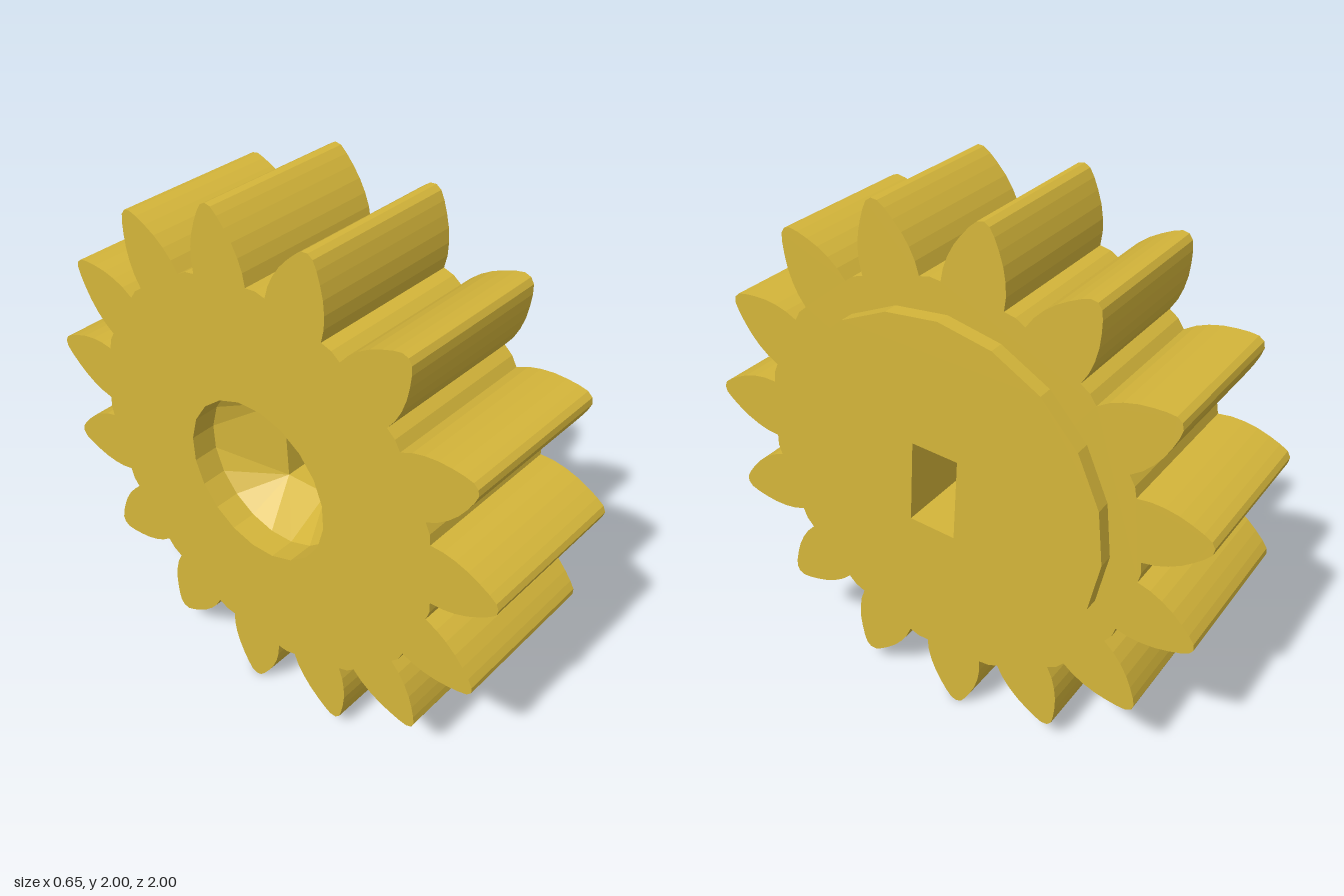
import * as THREE from 'three';

const DEG = Math.PI / 180;
const BACK = -0.325, FACE = 0.27, PLATE = 0.325; // stations along the axle
const TEETH = 15, BORE_R = 0.312, TILT = -3.5 * DEG;

const polar = (r, a) => new THREE.Vector2(r * Math.cos(a), r * Math.sin(a));

// Regular polygon, as points
function ring(radius, sides, start) {
  return Array.from({ length: sides }, (_, i) => polar(radius, start + (i / sides) * Math.PI * 2));
}

// Corners of the tilted axle slot, counterclockwise from the first quadrant
const slot = [[1, 1], [-1, 1], [-1, -1], [1, -1]].map(([sx, sy]) =>
  new THREE.Vector2(sx * 0.091, sy * 0.16).rotateAround(new THREE.Vector2(), TILT));

// Outline of the toothed wheel: half profile of a tooth (radius, half angle) mirrored and repeated
function toothedOutline() {
  const half = [[0.762, 8.9], [0.81, 8.25], [0.855, 7.15], [0.9, 5.7], [0.94, 4.1], [0.975, 2.6], [1.0, 1.3]];
  const pts = [];
  for (let i = 0; i < TEETH; i++) {
    const mid = -87.7 + (i * 360) / TEETH;
    half.forEach(([r, a]) => pts.push(polar(r, (mid - a) * DEG)));
    pts.push(polar(1.008, mid * DEG));
    [...half].reverse().forEach(([r, a]) => pts.push(polar(r, (mid + a) * DEG)));
    pts.push(polar(0.768, (mid + 180 / TEETH) * DEG));
  }
  return pts;
}

function extrude(outline, hole, from, to) {
  const shape = new THREE.Shape(outline);
  shape.holes.push(new THREE.Path(hole));
  const g = new THREE.ExtrudeGeometry(shape, { depth: to - from, bevelEnabled: false });
  return g.translate(0, 0, from);
}

// Inward-facing skin through rings of equal point count
function innerLoft(rings) {
  const pos = [];
  for (let k = 0; k < rings.length - 1; k++) {
    const [p, q] = [rings[k], rings[k + 1]];
    const n = p.pts.length;
    for (let i = 0; i < n; i++) {
      const j = (i + 1) % n;
      const at = (r, m) => [r.pts[m].x, r.pts[m].y, r.z];
      const [a, b, c, d] = [at(p, i), at(p, j), at(q, j), at(q, i)];
      // skip triangles that collapse onto a slot corner
      if (p.pts[i] !== p.pts[j]) pos.push(...a, ...c, ...b);
      if (q.pts[i] !== q.pts[j]) pos.push(...a, ...d, ...c);
    }
  }
  const g = new THREE.BufferGeometry();
  g.setAttribute('position', new THREE.Float32BufferAttribute(pos, 3));
  g.computeVertexNormals();
  return g;
}

export function createModel() {
  const brass = new THREE.MeshStandardMaterial({ color: 0xd4b53a });
  brass.name = 'brassYellow';
  brass.flatShading = true;

  const model = new THREE.Group();
  model.name = 'gear';
  const add = (name, geometry) => {
    const mesh = new THREE.Mesh(geometry.rotateY(Math.PI / 2), brass); // axle along x
    mesh.name = name;
    mesh.position.y = 1.008;
    model.add(mesh);
  };

  // Toothed wheel with a round bore open at the back
  const bore = ring(BORE_R, 20, TILT + 9 * DEG);
  add('toothedWheel', extrude(toothedOutline(), bore, BACK, FACE));

  // Raised disc with the axle slot
  add('hubPlate', extrude(ring(0.654, 20, -3 * DEG), slot, FACE, PLATE));

  // Bore narrows from round to the rectangular slot
  const corners = bore.map((_, i) => slot[Math.floor(i / 5)]);
  add('boreTaper', innerLoft([
    { pts: bore, z: BACK + 0.1 },
    { pts: corners, z: BACK + 0.25 },
    { pts: corners, z: FACE },
  ]));

  return model;
}
